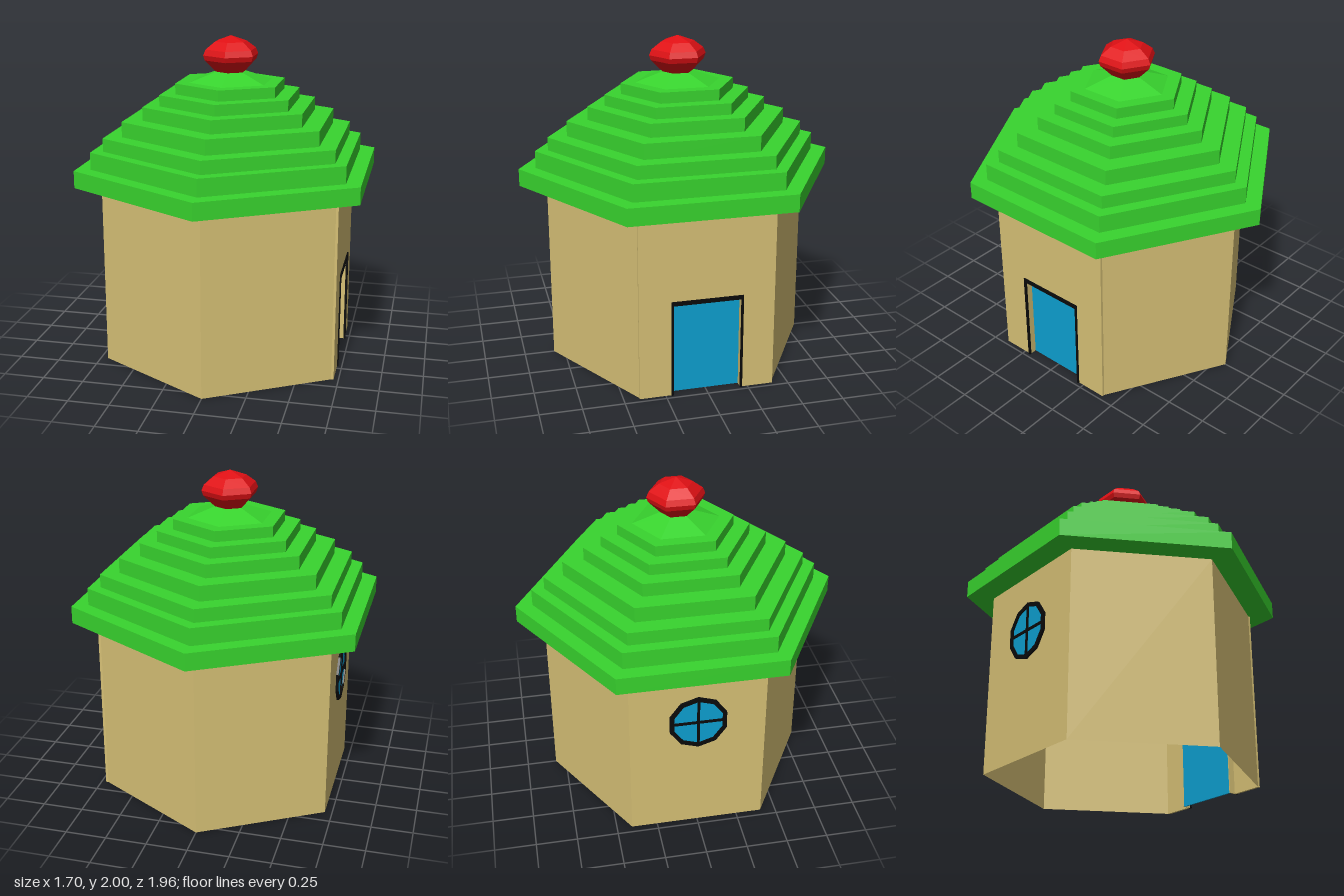
import * as THREE from 'three';

const mat = (color, side = THREE.FrontSide) =>
  new THREE.MeshStandardMaterial({ color, side, flatShading: true });

export function createModel() {
  const house = new THREE.Group();
  house.name = 'hexagonalHouse';
  const tan = mat(0xd6c075, THREE.DoubleSide);
  const green = mat(0x38d42e);
  const red = mat(0xe01014);
  const black = mat(0x0a0a0a);
  const blue = mat(0x0d9fd0, THREE.DoubleSide);

  const add = (parent, name, geometry, material, x = 0, y = 0, z = 0) => {
    const mesh = new THREE.Mesh(geometry, material);
    mesh.name = name;
    mesh.position.set(x, y, z);
    parent.add(mesh);
    return mesh;
  };
  const box = (parent, name, material, w, h, d, x, y, z) =>
    add(parent, name, new THREE.BoxGeometry(w, h, d), material, x, y, z);

  const R = 0.815, A = R * Math.cos(Math.PI / 6), WALL = 1.13;

  // Five thin walls, open underneath; the +x side is left for the door wall
  add(house, 'walls',
    new THREE.CylinderGeometry(R, R, WALL, 5, 1, true, Math.PI * 2 / 3, Math.PI * 5 / 3),
    tan, 0, WALL / 2, 0);

  // Door wall with a doorway notch, slightly proud of its neighbours
  const half = R / 2, doorW = 0.205, doorH = 0.58;
  const outline = new THREE.Shape([
    [-half, 0], [-doorW, 0], [-doorW, doorH], [doorW, doorH],
    [doorW, 0], [half, 0], [half, WALL], [-half, WALL],
  ].map(([u, v]) => new THREE.Vector2(u, v)));
  add(house, 'doorWall',
    new THREE.ExtrudeGeometry(outline, { depth: 0.015, bevelEnabled: false }).rotateY(Math.PI / 2),
    tan, A, 0, 0);

  // Recessed door, reveals and dark frame
  const door = new THREE.Group();
  door.name = 'door';
  house.add(door);
  box(door, 'doorPanel', blue, 0.01, doorH, 2 * doorW, 0.67, doorH / 2, 0);
  box(door, 'topReveal', tan, 0.05, 0.006, 2 * doorW, 0.69, doorH + 0.003, 0);
  box(door, 'frameTop', black, 0.014, 0.025, 0.43, 0.722, 0.588, 0);
  for (const s of [-1, 1]) {
    box(door, 'sideReveal', tan, 0.05, doorH, 0.006, 0.69, doorH / 2, s * (doorW + 0.003));
    box(door, 'frameSide', black, 0.014, 0.6, 0.012, 0.722, 0.3, s * 0.21);
  }

  // Round window on the -x wall
  const windowGroup = new THREE.Group();
  windowGroup.name = 'roundWindow';
  windowGroup.position.set(-A, 0.765, 0);
  windowGroup.rotation.y = -Math.PI / 2;
  house.add(windowGroup);
  const polygon = (r) => Array.from({ length: 10 }, (_, i) => {
    const a = Math.PI / 2 + i * Math.PI / 5;
    return new THREE.Vector2(r * Math.cos(a), r * Math.sin(a));
  });
  const slab = (shape, depth) => new THREE.ExtrudeGeometry(shape, { depth, bevelEnabled: false });
  const ring = new THREE.Shape(polygon(0.178));
  ring.holes.push(new THREE.Path(polygon(0.152)));
  add(windowGroup, 'windowBack', slab(new THREE.Shape(polygon(0.17)), 0.04), black, 0, 0, -0.038);
  add(windowGroup, 'windowGlass', slab(new THREE.Shape(polygon(0.155)), 0.003), blue, 0, 0, 0.003);
  add(windowGroup, 'windowFrame', slab(ring, 0.014), black);
  box(windowGroup, 'windowBarUpright', black, 0.016, 0.32, 0.012, 0, 0, 0.007);
  box(windowGroup, 'windowBarAcross', black, 0.32, 0.016, 0.012, 0, 0, 0.007);

  // Stepped roof: outer radius, bottom and top of each tier
  const roof = new THREE.Group();
  roof.name = 'roof';
  house.add(roof);
  const radii = [0.98, 0.878, 0.8, 0.683, 0.555, 0.45, 0.35];
  const levels = [1.13, 1.235, 1.34, 1.42, 1.512, 1.593, 1.66, 1.725];
  radii.forEach((r, i) => {
    const h = levels[i + 1] - levels[i];
    add(roof, 'roofTier', new THREE.CylinderGeometry(r, r, h, 6), green, 0, levels[i] + h / 2, 0);
  });
  add(roof, 'roofCap', new THREE.CylinderGeometry(0.09, 0.262, 0.06, 6), green, 0, 1.755, 0);

  // Faceted finial
  const profile = [[0, 1.78], [0.09, 1.78], [0.165, 1.855], [0.175, 1.885],
    [0.16, 1.92], [0.1, 1.965], [0, 2]];
  add(house, 'finial',
    new THREE.LatheGeometry(profile.map(([r, y]) => new THREE.Vector2(r, y)), 6), red);

  return house;
}
